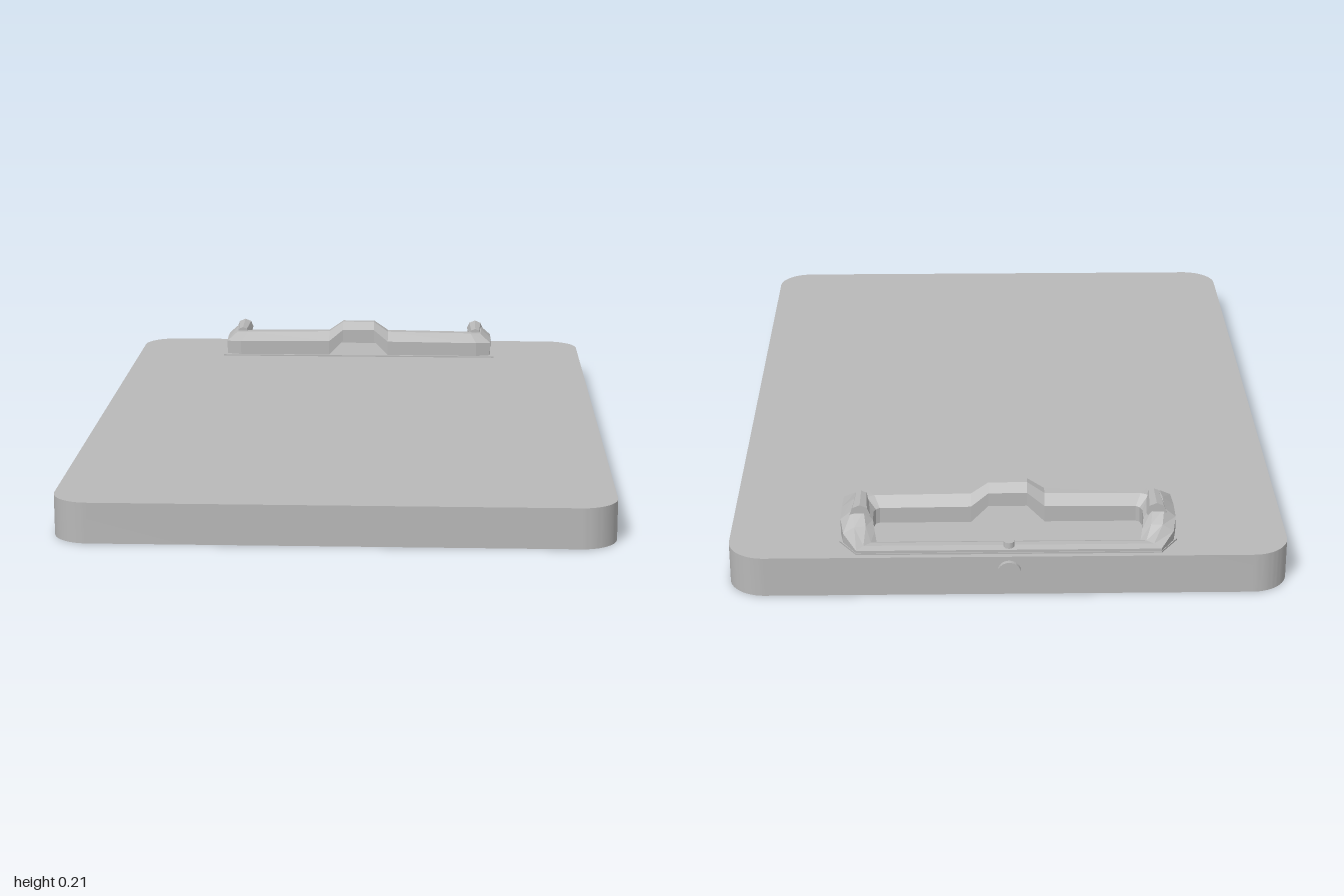
import * as THREE from 'three';
import { toCreasedNormals } from 'three/addons/utils/BufferGeometryUtils.js';

// Horizontal slab extruded from a shape drawn in (x, -z), bottom at y
function slab(shape, y, height) {
  const g = new THREE.ExtrudeGeometry(shape, { depth: height, bevelEnabled: false, curveSegments: 10 });
  g.rotateX(-Math.PI / 2);
  g.translate(0, y, 0);
  return toCreasedNormals(g, 0.6);
}

// Closed ring of faceted cross-sections
function ringLoft(sections) {
  const n = sections.length, m = sections[0].length;
  const pos = sections.flat(2), index = [];
  for (let i = 0; i < n; i++) {
    for (let j = 0; j < m; j++) {
      const a = i * m + j, b = i * m + (j + 1) % m;
      const c = ((i + 1) % n) * m + j, d = ((i + 1) % n) * m + (j + 1) % m;
      index.push(a, b, c, b, d, c);
    }
  }
  const indexed = new THREE.BufferGeometry();
  indexed.setAttribute('position', new THREE.Float32BufferAttribute(pos, 3));
  indexed.setIndex(index);
  const g = indexed.toNonIndexed();
  g.computeVertexNormals();
  return g;
}

export function createModel() {
  const group = new THREE.Group();
  const grey = new THREE.MeshStandardMaterial({ color: 0xb8b8b8, side: THREE.DoubleSide });
  grey.name = 'grey';
  const add = (name, geometry) => {
    const mesh = new THREE.Mesh(geometry, grey);
    mesh.name = name;
    group.add(mesh);
    return mesh;
  };

  // Board with rounded corners
  const w = 0.712, front = -1, back = 0.985, r = 0.095;
  const outline = new THREE.Shape();
  outline.moveTo(-w + r, front);
  outline.lineTo(w - r, front);
  outline.absarc(w - r, front + r, r, -Math.PI / 2, 0);
  outline.absarc(w - r, back - r, r, 0, Math.PI / 2);
  outline.absarc(-w + r, back - r, r, Math.PI / 2, Math.PI);
  outline.absarc(-w + r, front + r, r, Math.PI, Math.PI * 1.5);
  add('board', slab(outline, 0, 0.106));

  // Thin plate under the clip
  const plate = new THREE.Shape([
    [-0.437, 0.724], [0.437, 0.724], [0.43, 0.9], [0.385, 0.97], [-0.385, 0.97], [-0.43, 0.9],
  ].map(([x, y]) => new THREE.Vector2(x, y)));
  add('clipPlate', slab(plate, 0.105, 0.005));

  // Clip frame: outer x, outer z, inner x, inner z, base y, top y (left half, front to back)
  const half = [
    [0.05, -0.735, 0.05, -0.80, 0.155, 0.214],
    [0.095, -0.725, 0.095, -0.805, 0.112, 0.183],
    [0.38, -0.722, 0.33, -0.805, 0.112, 0.18],
    [0.425, -0.735, 0.34, -0.81, 0.112, 0.178],
    [0.428, -0.80, 0.345, -0.83, 0.112, 0.183],
    [0.428, -0.865, 0.345, -0.87, 0.112, 0.18],
    [0.42, -0.91, 0.34, -0.90, 0.11, 0.152],
    [0.385, -0.968, 0.335, -0.92, 0.108, 0.122],
    [0.05, -0.968, 0.05, -0.92, 0.108, 0.122],
  ];
  const mirrored = half.map(([ox, oz, ix, iz, b, t]) => [-ox, oz, -ix, iz, b, t]).reverse();
  const section = ([ox, oz, ix, iz, base, top]) => {
    const mid = base + (top - base) * 0.62;
    const at = (k, y) => [ox + (ix - ox) * k, y, oz + (iz - oz) * k];
    return [at(0, base), at(0, mid), at(0.36, top), at(0.72, top), at(1, mid), at(1, base)];
  };
  add('clipFrame', ringLoft([...half, ...mirrored].map(section)));

  // Rounded knuckles on the side arms
  for (const side of [1, -1]) {
    const knuckle = add(side > 0 ? 'leftKnuckle' : 'rightKnuckle',
      toCreasedNormals(new THREE.CylinderGeometry(0.018, 0.026, 0.1, 8), 0.3));
    knuckle.rotation.x = Math.PI / 2;
    knuckle.position.set(side * 0.378, 0.172, -0.825);
  }

  // Hinge rivet on the back bar
  const rivet = add('rivet', new THREE.CylinderGeometry(0.014, 0.016, 0.022, 10));
  rivet.position.set(0, 0.122, -0.95);

  // Small half-round tab on the back edge
  const tabShape = new THREE.Shape();
  tabShape.absarc(0, 0, 0.03, 0, Math.PI);
  const tab = add('backTab', new THREE.ExtrudeGeometry(tabShape,
    { depth: 0.012, bevelEnabled: false, curveSegments: 8 }));
  tab.position.set(0, 0.065, -0.997);

  return group;
}
